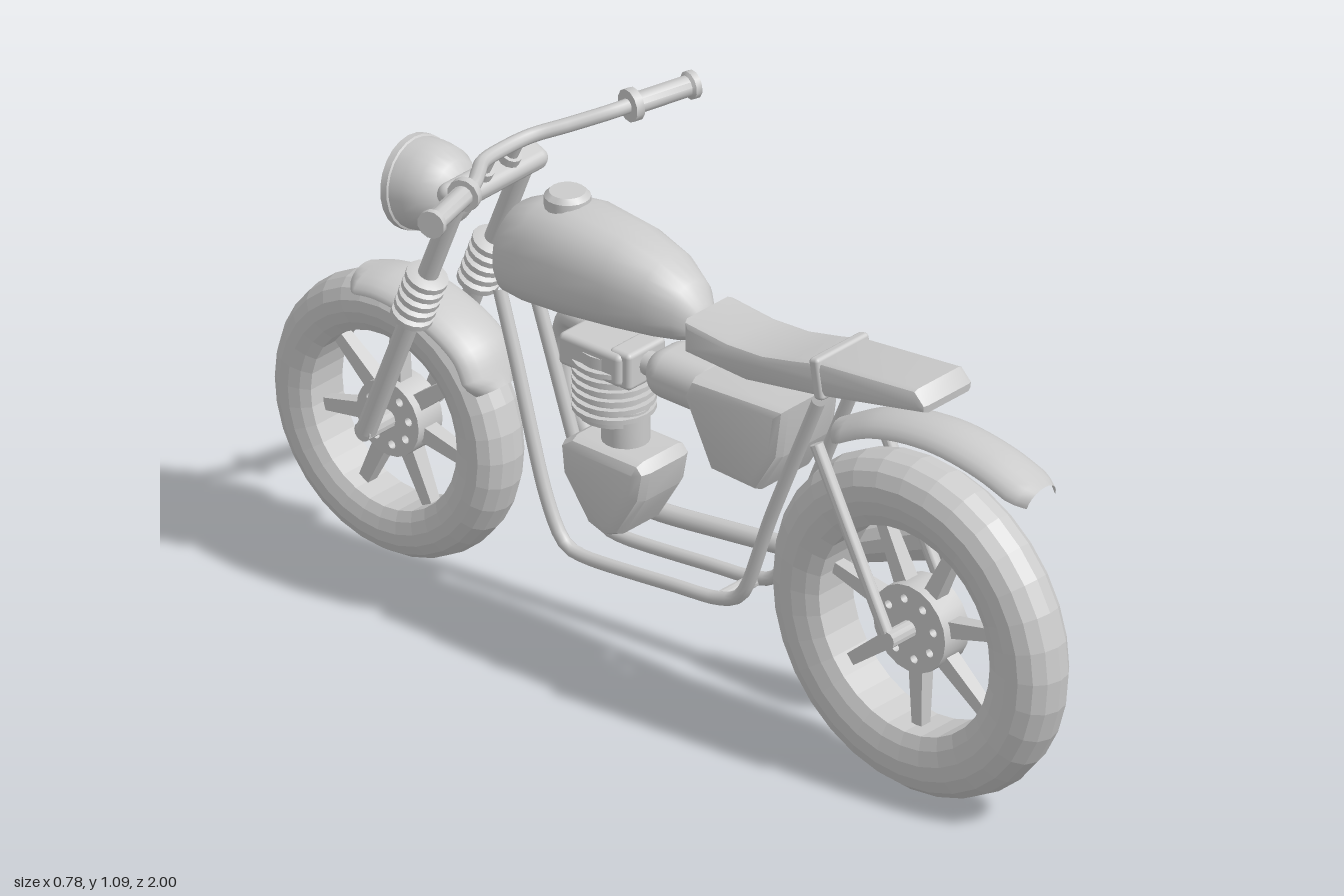
import * as THREE from 'three';
import { toCreasedNormals } from 'three/addons/utils/BufferGeometryUtils.js';
import { RoundedBoxGeometry } from 'three/addons/geometries/RoundedBoxGeometry.js';
import { ParametricGeometry } from 'three/addons/geometries/ParametricGeometry.js';

const V = (x, y, z) => new THREE.Vector3(x, y, z);
const smooth = new THREE.MeshStandardMaterial({ color: 0xcccccc });
const flat = new THREE.MeshStandardMaterial({ color: 0xcccccc, flatShading: true });
const thin = new THREE.MeshStandardMaterial({ color: 0xcccccc, side: THREE.DoubleSide });

export function createModel() {
  const model = new THREE.Group();

  function add(name, geo, mat = smooth, parent = model) {
    const m = new THREE.Mesh(geo, mat);
    m.name = name;
    parent.add(m);
    return m;
  }
  // smooth tube through points, with closed ends
  function tube(name, pts, r, tension = 0.5, steps = 40) {
    const curve = new THREE.CatmullRomCurve3(pts, false, 'catmullrom', tension);
    add(name, new THREE.TubeGeometry(curve, steps, r, 10));
  }
  // turned part: profile [radius, distance] laid along the line from a towards b
  function turned(name, a, b, profile, sides = 14, mat = smooth) {
    const geo = toCreasedNormals(new THREE.LatheGeometry(profile.map(p => new THREE.Vector2(p[0], p[1])), sides), 0.6);
    const m = add(name, geo, mat);
    m.position.copy(a);
    m.quaternion.setFromUnitVectors(V(0, 1, 0), b.clone().sub(a).normalize());
  }
  function rod(name, a, b, r, sides = 12) {
    const l = a.distanceTo(b);
    turned(name, a, b, [[0, 0], [r, 0], [r, l], [0, l]], sides);
  }
  // side outline [z, y] given a width in x with bevelled sides
  function slab(name, outline, width, bevel) {
    const shape = new THREE.Shape(outline.map(p => new THREE.Vector2(p[0], p[1])));
    const geo = new THREE.ExtrudeGeometry(shape, {
      depth: width - 2 * bevel, bevelEnabled: true, bevelSize: bevel, bevelOffset: -bevel, bevelThickness: bevel, bevelSegments: 2,
    });
    geo.translate(0, 0, bevel - width / 2).rotateY(-Math.PI / 2);
    add(name, toCreasedNormals(geo, 0.5));
  }

  // Wheels
  function wheel(name, z, y, R, inner, half, hubR, turn) {
    const g = new THREE.Group();
    g.name = name;
    g.position.set(0, y, z);
    model.add(g);
    const t = R - inner;
    const section = [[0, 0.72], [0.18, 0.9], [0.4, 1], [0.62, 0.97], [0.82, 0.78], [0.95, 0.45], [1, 0]];
    const pts = section.map(p => new THREE.Vector2(inner + t * p[0], -half * p[1]));
    for (let i = section.length - 2; i >= 0; i--) pts.push(new THREE.Vector2(pts[i].x, -pts[i].y));
    pts.push(pts[0].clone());
    add('tyre', new THREE.LatheGeometry(pts, 32).rotateZ(Math.PI / 2), flat, g);
    // hub disc with a ring of holes
    const disc = new THREE.Shape().absarc(0, 0, hubR, 0, Math.PI * 2);
    for (let i = 0; i < 8; i++) {
      const a = i * Math.PI / 4 + 0.2;
      disc.holes.push(new THREE.Path().absarc(hubR * 0.68 * Math.cos(a), hubR * 0.68 * Math.sin(a), 0.009, 0, Math.PI * 2, true));
    }
    const hub = new THREE.ExtrudeGeometry(disc, { depth: 0.07, bevelEnabled: false, curveSegments: 10 });
    add('hub', toCreasedNormals(hub.translate(0, 0, -0.035).rotateY(-Math.PI / 2), 0.6), smooth, g);
    // seven tapering spokes
    const len = inner - hubR + 0.04;
    for (let i = 0; i < 7; i++) {
      const spoke = new THREE.CylinderGeometry(0.017, 0.025, len, 4).rotateY(Math.PI / 4);
      spoke.translate(0, hubR - 0.015 + len / 2, 0).rotateX(turn + i * Math.PI * 2 / 7);
      add('spoke', spoke, flat, g);
    }
  }
  wheel('rearWheel', 0.64, 0.36, 0.36, 0.22, 0.068, 0.093, Math.PI);
  wheel('frontWheel', -0.702, 0.345, 0.297, 0.188, 0.064, 0.08, 0);
  rod('rearAxle', V(-0.1, 0.36, 0.64), V(0.1, 0.36, 0.64), 0.018);
  rod('frontAxle', V(-0.11, 0.345, -0.702), V(0.11, 0.345, -0.702), 0.02);

  // Mudguards: an arched section swept along a side curve
  function fender(name, pts, half, drop) {
    const curve = new THREE.CatmullRomCurve3(pts.map(p => V(0, p[1], p[0])));
    const surface = (u, v, target) => {
      const p = curve.getPoint(u), d = curve.getTangent(u), a = (v - 0.5) * Math.PI;
      const n = V(0, -d.z, d.y);
      if (n.y < 0) n.negate();
      const round = Math.sqrt(Math.min(1, 0.45 + Math.min(u, 1 - u) * 8));
      target.copy(p).addScaledVector(n, -drop * (1 - Math.cos(a)));
      target.x = half * round * Math.sin(a);
    };
    add(name, new ParametricGeometry(surface, 24, 10), thin);
  }
  fender('rearFender', [[0.96, 0.77], [0.84, 0.808], [0.7, 0.822], [0.55, 0.796], [0.43, 0.735]], 0.062, 0.038);
  fender('frontFender', [[-0.43, 0.5], [-0.475, 0.58], [-0.58, 0.637], [-0.7, 0.657], [-0.79, 0.643]], 0.075, 0.035);

  // Fuel tank lofted from oval sections [z, top, bottom, half width]
  const sections = [[-0.425, 0.84, 0.775, 0.025], [-0.415, 0.88, 0.742, 0.055], [-0.385, 0.922, 0.731, 0.083], [-0.32, 0.954, 0.733, 0.103],
    [-0.22, 0.968, 0.743, 0.111], [-0.1, 0.957, 0.757, 0.103], [-0.01, 0.932, 0.768, 0.086], [0.05, 0.895, 0.777, 0.062], [0.08, 0.855, 0.785, 0.036], [0.09, 0.825, 0.797, 0.012]];
  const n = 24, pos = [], idx = [];
  for (const [z, top, bottom, w] of sections) {
    const mid = bottom + (top - bottom) * 0.42;
    for (let j = 0; j < n; j++) {
      const c = Math.cos(j / n * Math.PI * 2), s = Math.sin(j / n * Math.PI * 2);
      const x = Math.sign(c) * Math.abs(c) ** 0.85 * w;
      pos.push(x, mid + Math.sign(s) * Math.abs(s) ** 0.85 * (s > 0 ? top - mid : mid - bottom), z);
    }
  }
  for (let i = 0; i < sections.length - 1; i++) for (let j = 0; j < n; j++) {
    const a = i * n + j, b = i * n + (j + 1) % n;
    idx.push(a, b, a + n, b, b + n, a + n);
  }
  const last = (sections.length - 1) * n;
  for (let j = 1; j < n - 1; j++) idx.push(0, j + 1, j, last, last + j, last + j + 1);
  const tank = new THREE.BufferGeometry();
  tank.setAttribute('position', new THREE.Float32BufferAttribute(pos, 3));
  tank.setIndex(idx);
  tank.computeVertexNormals();
  add('fuelTank', tank);
  turned('fuelCap', V(0, 0.95, -0.27), V(0, 1, -0.27), [[0, 0], [0.046, 0], [0.046, 0.024], [0.036, 0.034], [0, 0.034]], 18);

  // Seat and strap
  slab('seat', [[0.09, 0.785], [0.25, 0.778], [0.43, 0.808], [0.71, 0.868], [0.712, 0.885], [0.685, 0.912], [0.44, 0.886],
    [0.37, 0.868], [0.29, 0.85], [0.2, 0.845], [0.09, 0.855]], 0.146, 0.014);
  const strap = add('seatStrap', new RoundedBoxGeometry(0.154, 0.088, 0.025, 2, 0.008));
  strap.position.set(0, 0.849, 0.435);
  strap.rotation.x = -0.17;

  // Side box and air intake
  slab('sideBox', [[0.36, 0.755], [0.12, 0.742], [0.1, 0.7], [0.17, 0.56], [0.29, 0.555], [0.345, 0.645]], 0.18, 0.022);
  add('airIntake', new RoundedBoxGeometry(0.13, 0.1, 0.19, 4, 0.045)).position.set(0, 0.69, 0.06);
  rod('intakePipe', V(0, 0.68, 0), V(0, 0.68, -0.1), 0.025);

  // Engine
  slab('crankcase', [[-0.012, 0.475], [-0.03, 0.495], [-0.2, 0.495], [-0.232, 0.472], [-0.225, 0.41], [-0.16, 0.32], [-0.115, 0.305], [-0.08, 0.32], [-0.025, 0.41]], 0.15, 0.025);
  rod('cylinderBase', V(0, 0.47, -0.12), V(0, 0.57, -0.12), 0.048, 18);
  rod('cylinder', V(0, 0.54, -0.15), V(0, 0.69, -0.15), 0.07, 20);
  for (let i = 0; i < 6; i++) rod('coolingFin', V(0, 0.555 + i * 0.02, -0.15), V(0, 0.565 + i * 0.02, -0.15), 0.083, 20);
  add('cylinderHead', new RoundedBoxGeometry(0.13, 0.07, 0.16, 2, 0.012)).position.set(0, 0.675, -0.16);
  add('rockerCover', new RoundedBoxGeometry(0.11, 0.08, 0.055, 2, 0.01)).position.set(0, 0.675, -0.09);

  // Exhaust pipe and silencer
  tube('exhaustPipe', [V(0.04, 0.665, -0.2), V(0.06, 0.663, -0.29), V(0.085, 0.64, -0.35), V(0.098, 0.57, -0.37), V(0.1, 0.47, -0.35), V(0.105, 0.35, -0.28),
    V(0.108, 0.295, -0.22), V(0.115, 0.282, -0.14), V(0.13, 0.292, 0.03), V(0.145, 0.31, 0.24)], 0.02, 0.5, 64);
  rod('exhaustCollar', V(0.035, 0.665, -0.22), V(0.055, 0.665, -0.26), 0.03);
  turned('silencer', V(0.143, 0.303, 0.21), V(0.192, 0.515, 0.69),
    [[0, 0], [0.02, 0], [0.03, 0.07], [0.054, 0.37], [0.054, 0.43], [0.031, 0.52], [0.023, 0.52], [0.023, 0.44], [0, 0.44]], 10, flat);

  // Left and right pairs
  const clampTop = V(0, 0.965, -0.455), axle = V(0, 0.345, -0.702);
  for (const s of [-1, 1]) {
    // frame cradle with seat tube
    tube('frameCradle', [V(s * 0.045, 0.74, -0.405), V(s * 0.048, 0.6, -0.36), V(s * 0.055, 0.36, -0.285), V(s * 0.055, 0.255, -0.235), V(s * 0.055, 0.236, -0.17),
      V(s * 0.055, 0.255, 0.05), V(s * 0.055, 0.268, 0.17), V(s * 0.055, 0.31, 0.235), V(s * 0.055, 0.5, 0.305), V(s * 0.055, 0.79, 0.425)], 0.014, 0.4, 64);
    rod('rearStrut', V(s * 0.09, 0.37, 0.63), V(s * 0.09, 0.72, 0.45), 0.014);
    // fork leg with ribbed gaiter
    const at = t => clampTop.clone().lerp(axle, t).setX(s * 0.097);
    rod('forkUpper', at(0), at(0.4), 0.021, 16);
    rod('forkLower', at(0.4), at(1), 0.021, 16);
    const gaiter = [[0, 0]];
    for (let i = 0; i < 5; i++) gaiter.push([0.028, i * 0.025], [0.043, i * 0.025 + 0.006], [0.043, i * 0.025 + 0.018], [0.028, i * 0.025 + 0.024]);
    turned('forkGaiter', at(0.355), at(1), [...gaiter, [0, 0.124]], 16);
    rod('handlebarRiser', V(s * 0.04, 0.95, -0.465), V(s * 0.04, 1.022, -0.43), 0.013);
    rod('clampNut', V(s * 0.04, 0.96, -0.461), V(s * 0.04, 0.985, -0.449), 0.022);
    // grip with flanges at both ends
    turned('grip', V(s * 0.235, 1.056, -0.322), V(s * 0.385, 1.058, -0.283),
      [[0, 0], [0.034, 0], [0.034, 0.018], [0.022, 0.018], [0.022, 0.137], [0.029, 0.142], [0.029, 0.155], [0, 0.155]], 12);
  }
  rod('frameCrossTube', V(-0.055, 0.268, 0.17), V(0.055, 0.268, 0.17), 0.014);

  // Handlebar, steering clamp and headlight
  const half = [[0.07, 1.021, -0.425], [0.13, 1.034, -0.385], [0.2, 1.052, -0.336], [0.25, 1.057, -0.318]];
  tube('handlebar', [...half.map(p => V(-p[0], p[1], p[2])).reverse(), V(0, 1.017, -0.435), ...half.map(p => V(...p))], 0.015);
  const clamp = add('steeringClamp', new RoundedBoxGeometry(0.276, 0.045, 0.065, 4, 0.02));
  clamp.position.set(0, 0.947, -0.463);
  clamp.rotation.x = 0.39;
  turned('headlight', V(0, 0.884, -0.528), V(0, 0.86, -0.7),
    [[0, 0], [0.035, 0.008], [0.063, 0.026], [0.083, 0.055], [0.091, 0.09], [0.092, 0.122], [0.096, 0.124], [0.096, 0.14], [0.086, 0.143], [0.06, 0.16], [0.03, 0.169], [0, 0.172]], 24);

  return model;
}
